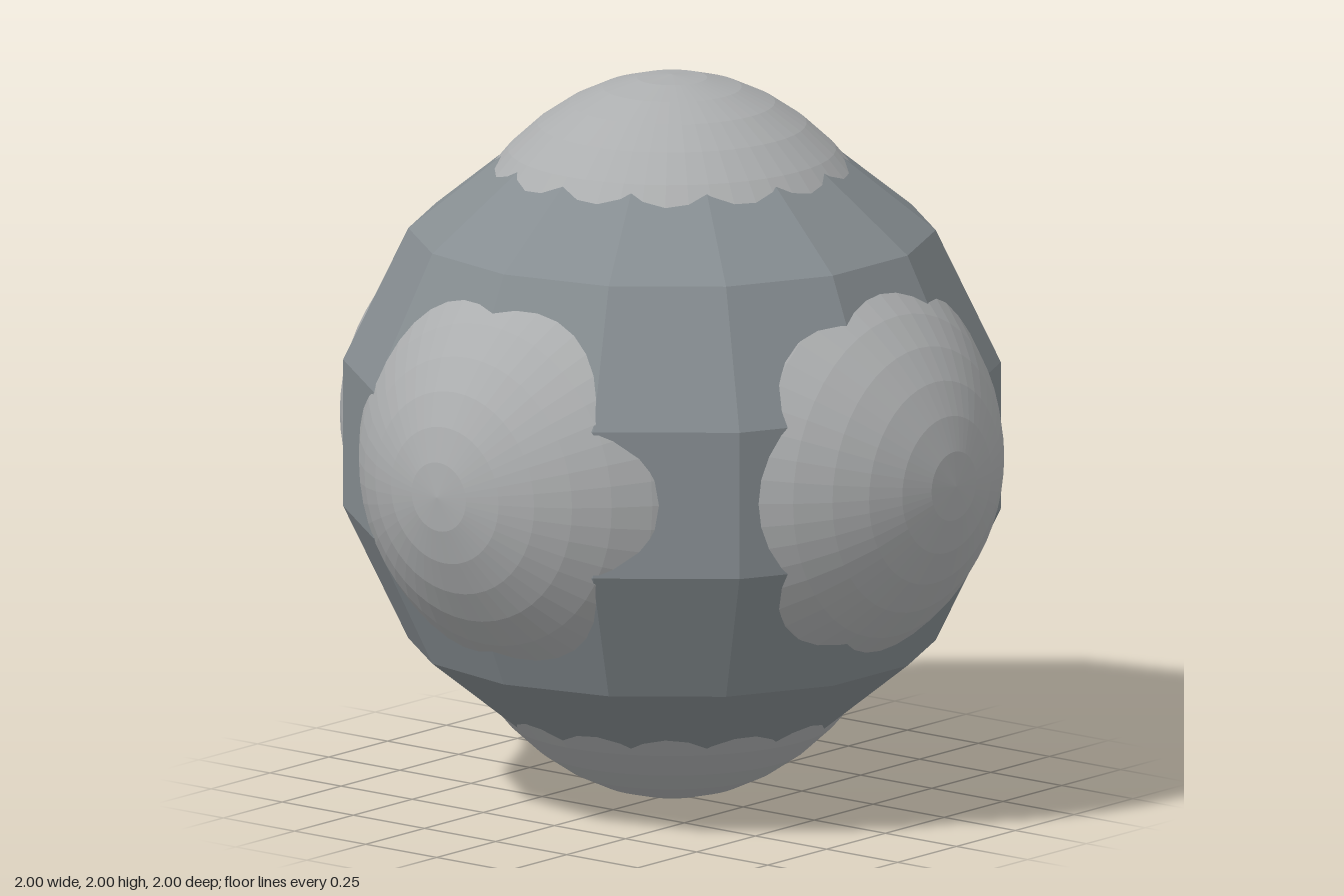
import * as THREE from 'three';

const CORE_RADIUS = 0.914;
const SPINDLE_RADIUS = 0.73;

export function createModel() {
  const model = new THREE.Group();
  model.name = 'bumpyBall';
  const coreMaterial = new THREE.MeshStandardMaterial({ color: 0x868d91, flatShading: true });
  const bumpMaterial = new THREE.MeshStandardMaterial({ color: 0xacaeaf, flatShading: true });

  // Coarse central ball
  const core = new THREE.Mesh(new THREE.SphereGeometry(CORE_RADIUS, 14, 7), coreMaterial);
  core.name = 'core';
  core.position.y = 1;
  model.add(core);

  // Three long ellipsoids through the centre; both ends of each stand out as bumps
  const spindleGeometry = new THREE.SphereGeometry(1, 48, 24);
  spindleGeometry.scale(SPINDLE_RADIUS, 1, SPINDLE_RADIUS);
  const rotations = {
    topAndBottomBumps: [0, 0, 0],
    leftAndRightBumps: [0, 0, -Math.PI / 2],
    frontAndBackBumps: [Math.PI / 2, 0, 0],
  };
  for (const [name, rotation] of Object.entries(rotations)) {
    const spindle = new THREE.Mesh(spindleGeometry, bumpMaterial);
    spindle.name = name;
    spindle.rotation.set(...rotation);
    spindle.position.y = 1;
    model.add(spindle);
  }
  return model;
}
